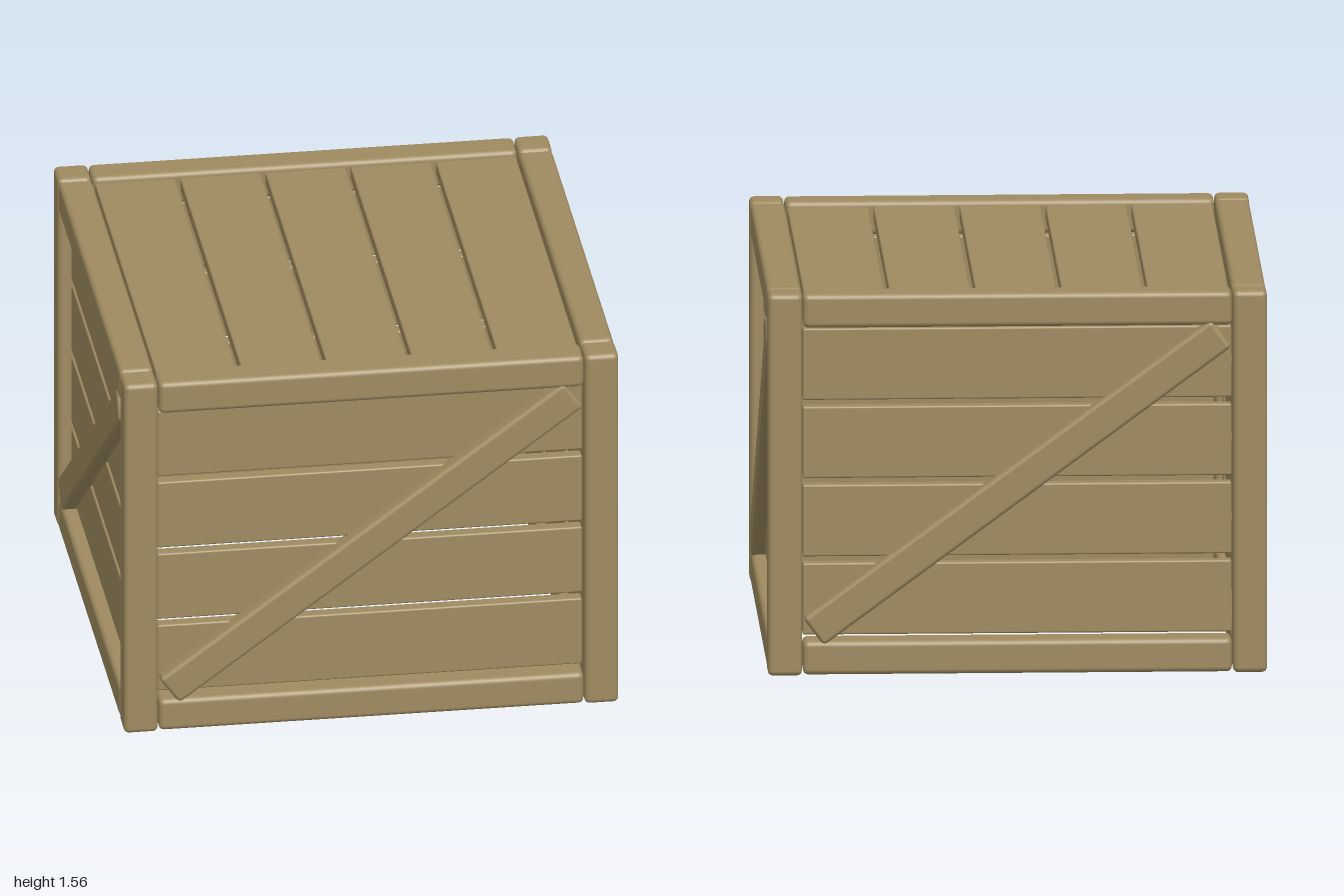
import * as THREE from 'three';
import { RoundedBoxGeometry } from 'three/addons/geometries/RoundedBoxGeometry.js';

const wood = new THREE.MeshStandardMaterial({ color: 0xa08b60 });
wood.name = 'wood';

// Softly rounded timber, given by its size and centre
function timber(parent, name, [w, h, d], [x, y, z], radius) {
  const mesh = new THREE.Mesh(new RoundedBoxGeometry(w, h, d, 3, radius), wood);
  mesh.name = name;
  mesh.position.set(x, y, z);
  parent.add(mesh);
  return mesh;
}

// One wall facing +z: corner post, two rails, four slats and a brace
function createWall() {
  const wall = new THREE.Group();
  timber(wall, 'cornerPost', [0.137, 1.556, 0.137], [-0.93, 0.778, 0.93], 0.022);
  timber(wall, 'bottomRail', [1.715, 0.137, 0.137], [0, 0.072, 0.929], 0.022);
  timber(wall, 'topRail', [1.715, 0.137, 0.137], [0, 1.486, 0.929], 0.022);
  for (let i = 0; i < 4; i++) {
    timber(wall, 'wallSlat', [1.715, 0.292, 0.055], [0, 0.304 + i * 0.319, 0.917], 0.008);
  }
  const brace = timber(wall, 'diagonalBrace', [2.03, 0.138, 0.085], [0, 0.781, 0.9575], 0.018);
  brace.rotation.z = Math.atan2(1.22, 1.65);
  return wall;
}

export function createModel() {
  const crate = new THREE.Group();
  crate.name = 'crate';

  // Four equal walls turned about the vertical axis; the underside is open
  ['frontWall', 'leftWall', 'backWall', 'rightWall'].forEach((name, i) => {
    const wall = createWall();
    wall.name = name;
    wall.rotation.y = (i * Math.PI) / 2;
    crate.add(wall);
  });

  // Lid of five boards running front to back
  const lid = new THREE.Group();
  lid.name = 'lid';
  for (let i = -2; i <= 2; i++) {
    timber(lid, 'lidBoard', [0.324, 0.055, 1.715], [i * 0.344, 1.508, 0], 0.008);
  }
  crate.add(lid);
  return crate;
}
